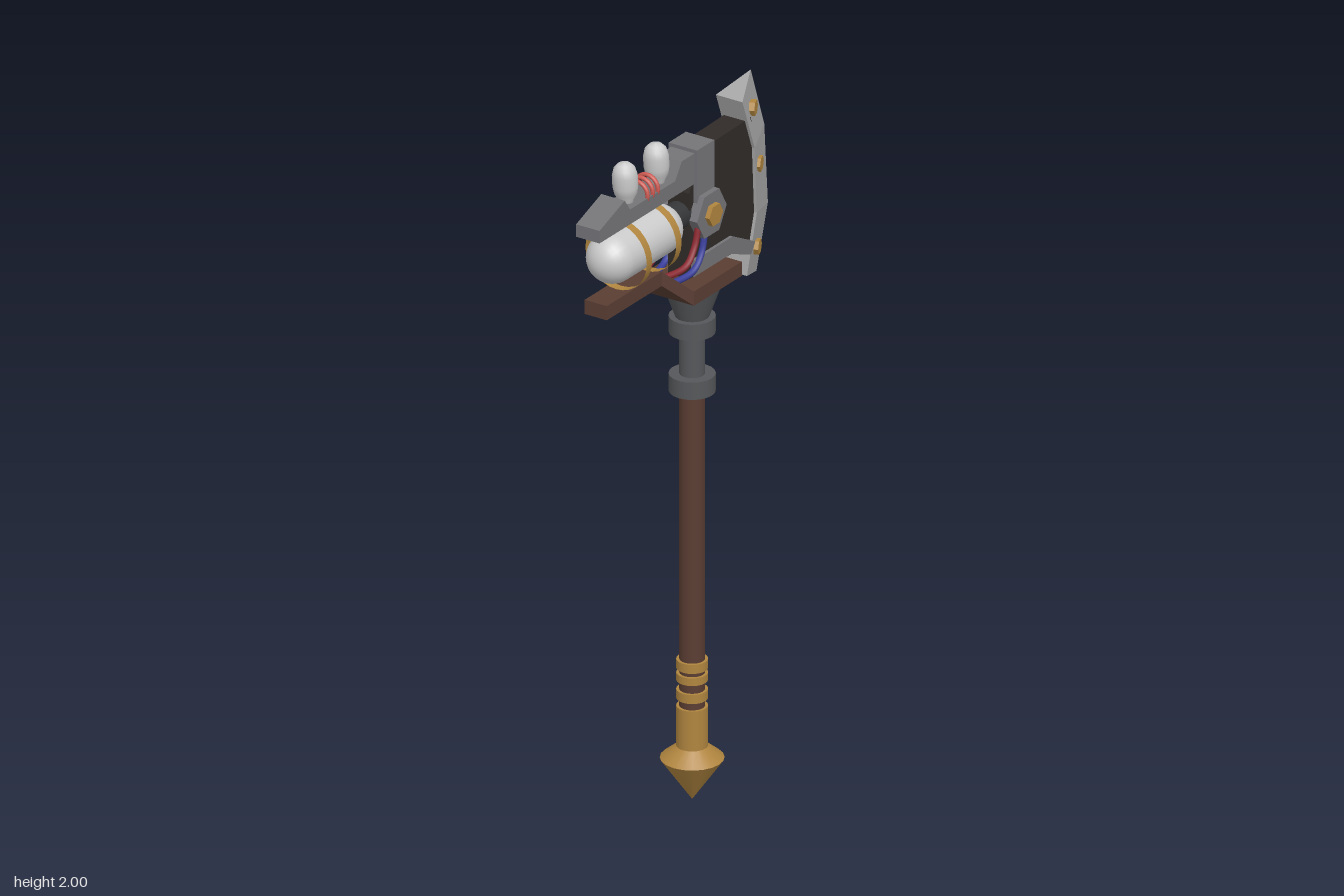
import * as THREE from 'three';

const paint = (color, flat = false, side = THREE.FrontSide) =>
  new THREE.MeshStandardMaterial({ color, flatShading: flat, side });

const AXIS_Z = -0.063; // handle axis

export function createModel() {
  const root = new THREE.Group();
  const wood = paint(0x5a3d33), woodFlat = paint(0x5a3d33, true);
  const brass = paint(0xb0853f), brassFlat = paint(0xb0853f, true);
  const iron = paint(0x55575a), steel = paint(0x747478, true);
  const dark = paint(0x302b28, true), blackIron = paint(0x353638);
  const bladeSteel = paint(0xa5a5a5, true), shell = paint(0xcccccc);
  const red = paint(0x8c2730), blue = paint(0x3a3f9c), coilRed = paint(0xcf5a52);

  function add(name, geometry, material, x = 0, y = 0, z = 0) {
    const mesh = new THREE.Mesh(geometry, material);
    mesh.name = name;
    mesh.position.set(x, y, z);
    root.add(mesh);
    return mesh;
  }

  // Upright turned part between two heights on the handle axis
  function turned(name, y0, y1, r0, r1, material) {
    return add(name, new THREE.CylinderGeometry(r1, r0, y1 - y0, 20), material, 0, (y0 + y1) / 2, AXIS_Z);
  }

  // Side profile of [z, y] points, extruded across x
  function slab(name, points, halfWidth, material) {
    const shape = new THREE.Shape(points.map(([z, y]) => new THREE.Vector2(z, y)));
    const g = new THREE.ExtrudeGeometry(shape, { depth: halfWidth * 2, bevelEnabled: false });
    g.translate(0, 0, -halfWidth).rotateY(-Math.PI / 2);
    return add(name, g, material);
  }

  // Solid through cross-sections, each counter-clockwise about the direction of travel
  function loft(name, sections, material) {
    const pos = [], tri = (...p) => p.forEach((v) => pos.push(...v));
    const n = sections[0].length, last = sections[sections.length - 1];
    for (let i = 0; i < sections.length - 1; i++) {
      for (let j = 0; j < n; j++) {
        const k = (j + 1) % n, s = sections[i], t = sections[i + 1];
        tri(s[j], s[k], t[k]);
        tri(s[j], t[k], t[j]);
      }
    }
    for (let j = 1; j < n - 1; j++) {
      tri(sections[0][0], sections[0][j + 1], sections[0][j]);
      tri(last[0], last[j], last[j + 1]);
    }
    const g = new THREE.BufferGeometry();
    g.setAttribute('position', new THREE.Float32BufferAttribute(pos, 3));
    g.computeVertexNormals();
    return add(name, g, material);
  }

  // Handle with brass pommel and grip rings
  turned('pommelTip', 0, 0.12, 0.001, 0.085, brass);
  turned('pommelShoulder', 0.12, 0.155, 0.085, 0.042, brass);
  turned('pommelSleeve', 0.15, 0.27, 0.042, 0.042, brass);
  turned('shaft', 0.25, 1.2, 0.034, 0.034, wood);
  for (const [y, h] of [[0.305, 0.026], [0.355, 0.022], [0.392, 0.026]]) {
    turned('gripRing', y - h / 2, y + h / 2, 0.042, 0.042, brass);
  }

  // Iron neck
  turned('lowerCollar', 1.18, 1.23, 0.062, 0.062, iron);
  turned('neck', 1.22, 1.36, 0.034, 0.034, iron);
  turned('upperCollar', 1.35, 1.397, 0.062, 0.062, iron);
  turned('headSocket', 1.395, 1.5, 0.045, 0.083, iron);

  // Wooden bed: wide under the head, narrow and raised under the tank
  loft('woodenBed', [
    [-0.167, 0.086, 1.492, 1.533],
    [0.055, 0.086, 1.492, 1.533],
    [0.13, 0.035, 1.565, 1.606],
    [0.385, 0.035, 1.565, 1.606],
  ].map(([z, w, a, b]) => [[w, a, z], [w, b, z], [-w, b, z], [-w, a, z]]), woodFlat);

  // Head core with its steel frame
  slab('headCore', [[0, 1.53], [-0.19, 1.53], [-0.295, 1.52], [-0.31, 1.7], [-0.288, 1.89], [-0.05, 1.885], [0, 1.78]], 0.033, dark);
  slab('lowerFrame', [[-0.01, 1.585], [-0.01, 1.538], [-0.18, 1.538], [-0.275, 1.5], [-0.295, 1.53], [-0.19, 1.585]], 0.042, steel);
  add('frameColumn', new THREE.BoxGeometry(0.09, 0.2, 0.08), steel, 0, 1.8, -0.06);

  // Upper rail over the tank
  slab('upperRail', [
    [0.422, 1.802], [0.422, 1.838], [0.305, 1.88], [0.28, 1.845],
    [0.07, 1.845], [0.04, 1.89], [-0.03, 1.89], [-0.03, 1.802],
  ], 0.037, steel);

  // Hexagonal hub with a brass nut on each side
  const hex = (r, w) => new THREE.CylinderGeometry(r, r, w, 6).rotateZ(Math.PI / 2);
  add('hub', hex(0.069, 0.122), steel, 0, 1.705, -0.065);
  add('hubNuts', hex(0.032, 0.15), brassFlat, 0, 1.705, -0.065);

  // Wedge-shaped blade: rows of [inner z, inner y, edge z, edge y] from top to bottom
  loft('blade', [
    [-0.235, 1.955, -0.335, 2.0],
    [-0.292, 1.8, -0.398, 1.82],
    [-0.302, 1.61, -0.415, 1.585],
    [-0.256, 1.445, -0.362, 1.408],
  ].map(([zi, yi, ze, ye]) => [[0.042, yi, zi], [-0.042, yi, zi], [0, ye, ze]]), bladeSteel);
  for (const side of [1, -1]) {
    for (const [y, z] of [[1.91, -0.303], [1.738, -0.33], [1.502, -0.321]]) {
      const bolt = add('bladeBolt', hex(0.022, 0.022), brassFlat, side * 0.026, y, z);
      bolt.rotation.y = side * 0.37;
    }
  }

  // Pressure tank, its coupling and brass straps
  add('tank', new THREE.CapsuleGeometry(0.07, 0.205, 8, 24).rotateX(Math.PI / 2), shell, 0, 1.708, 0.205);
  add('tankCoupling', new THREE.CylinderGeometry(0.038, 0.038, 0.1, 16).rotateX(Math.PI / 2), blackIron, 0, 1.712, 0.01);
  const strapPaint = paint(0xb0853f, false, THREE.DoubleSide);
  for (const z of [0.141, 0.278]) {
    add('tankStrap', new THREE.CylinderGeometry(0.097, 0.097, 0.025, 28, 1, true).rotateX(Math.PI / 2), strapPaint, 0, 1.706, z);
  }

  // Bulbs leaning slightly forward on the rail
  const bulbProfile = [[0.001, -0.01], [0.018, -0.01], [0.02, 0.01], [0.031, 0.03], [0.034, 0.05], [0.034, 0.083],
    [0.029, 0.102], [0.018, 0.114], [0.001, 0.119]].map(([r, y]) => new THREE.Vector2(r, y));
  for (const z of [0.243, 0.098]) {
    add('bulb', new THREE.LatheGeometry(bulbProfile, 20), shell, 0, 1.842, z).rotation.x = 0.09;
  }

  // Red coil between the bulbs
  for (const z of [0.146, 0.17, 0.194]) {
    add('coilRing', new THREE.TorusGeometry(0.034, 0.006, 8, 20), coilRed, 0, 1.85, z);
  }

  // Hoses from the hub down to the bed, on both sides
  const hoses = [
    ['redHose', red, 0.05, [[1.69, -0.02], [1.63, 0], [1.59, 0.04], [1.58, 0.12]]],
    ['blueHose', blue, 0.046, [[1.66, -0.055], [1.6, -0.04], [1.56, 0], [1.55, 0.09]]],
  ];
  for (const side of [1, -1]) {
    for (const [name, material, x, path] of hoses) {
      const curve = new THREE.CatmullRomCurve3(path.map(([y, z], i) => new THREE.Vector3(side * (i === 3 ? 0.03 : x), y, z)));
      add(name, new THREE.TubeGeometry(curve, 20, 0.009, 8), material);
    }
  }

  return root;
}
